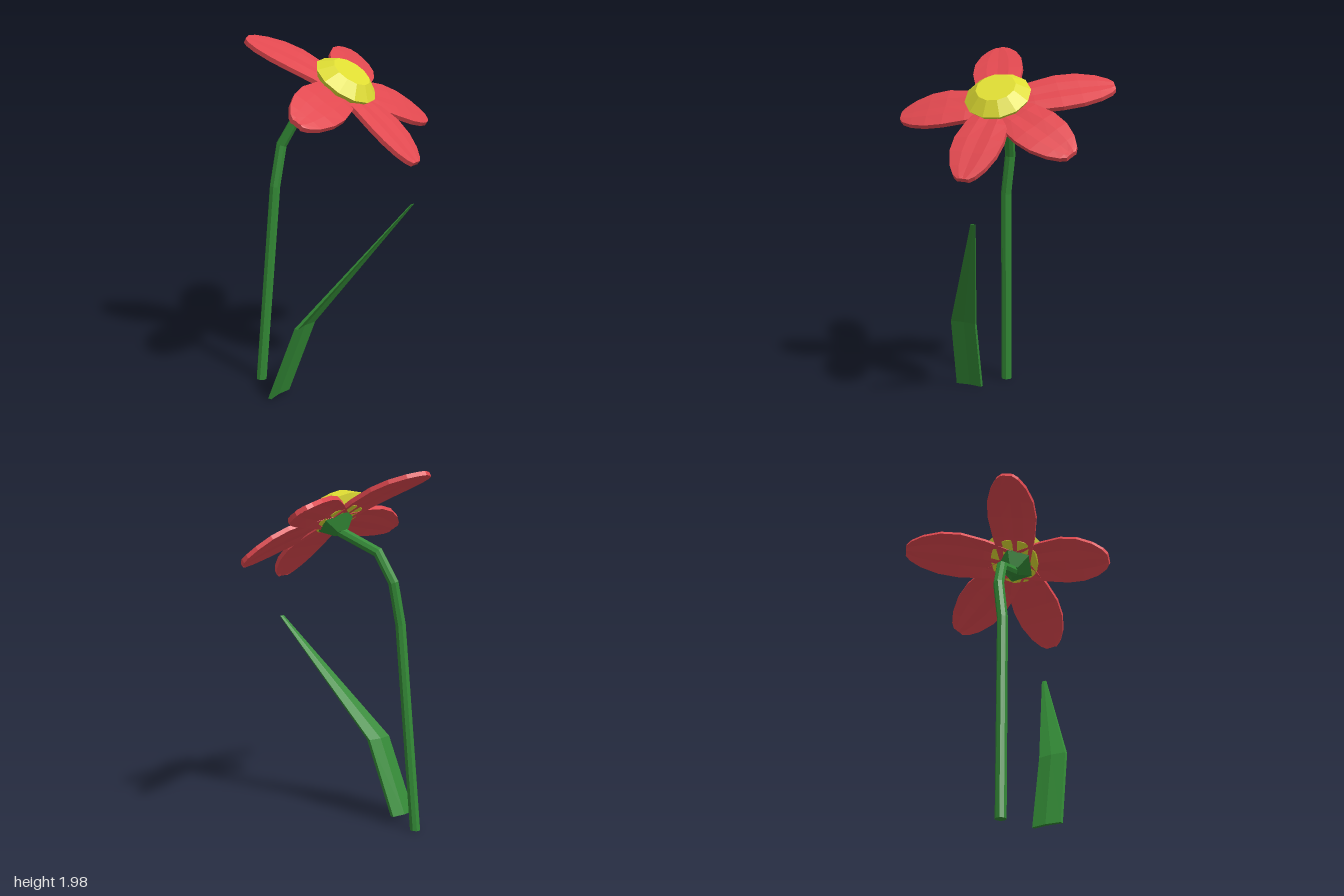
import * as THREE from 'three';

const V = (x, y, z) => new THREE.Vector3(x, y, z);
const paint = (color) => new THREE.MeshStandardMaterial({ color, flatShading: true });

// Joins equal-sized closed cross-sections into a capped solid.
function loft(rings) {
  const n = rings[0].length, last = rings.length - 1, index = [];
  for (let i = 0; i < last; i++) {
    for (let j = 0; j < n; j++) {
      const a = i * n + j, b = i * n + (j + 1) % n;
      index.push(a, b, b + n, a, b + n, a + n);
    }
  }
  for (let j = 1; j < n - 1; j++) {
    index.push(0, j + 1, j);
    index.push(last * n, last * n + j, last * n + j + 1);
  }
  const geometry = new THREE.BufferGeometry().setFromPoints(rings.flat());
  geometry.setIndex(index);
  geometry.computeVertexNormals();
  return geometry;
}

// Thin cross-section: top line of [u, height] points, then the same line lower and back.
function bladeRing(centre, side, normal, half, profile, thickness) {
  const point = (u, h) => centre.clone().addScaledVector(side, u * half).addScaledVector(normal, h);
  return [
    ...profile.map(([u, h]) => point(u, h)),
    ...profile.slice().reverse().map(([u, h]) => point(u, h - thickness)),
  ];
}

const facing = V(0.37, 0.82, 0.43).normalize();
const heart = V(-0.03, 1.7, 0.09);

function petalGeometry(tip) {
  const axis = tip.clone().sub(heart).normalize();
  const side = axis.clone().cross(facing).normalize();
  const normal = side.clone().cross(axis);
  // [distance along petal, half width]
  const outline = [[0.05, 0.09], [0.3, 0.122], [0.52, 0.14], [0.7, 0.132], [0.86, 0.1], [0.96, 0.062], [1, 0.032]];
  return loft(outline.map(([t, half]) => {
    const centre = heart.clone().lerp(tip, t).addScaledVector(normal, 0.025 * Math.sin(Math.PI * t) + 0.01);
    const ridge = 0.012 * (1 - t * 0.7);
    const profile = [[-1, 0], [-0.45, ridge], [0, ridge * 0.4], [0.45, ridge], [1, 0]];
    return bladeRing(centre, side, normal, half, profile, 0.025);
  }));
}

function stemGeometry(points, radius, sides) {
  return loft(points.map((p, i) => {
    const axis = points[Math.min(i + 1, points.length - 1)].clone().sub(points[Math.max(i - 1, 0)]).normalize();
    if (i === 0) axis.set(0, 1, 0);
    const side = axis.clone().cross(V(-0.6, 0, 0.8)).normalize();
    const normal = side.clone().cross(axis);
    return Array.from({ length: sides }, (_, k) => {
      const angle = -k / sides * Math.PI * 2;
      return p.clone().addScaledVector(side, radius * Math.cos(angle)).addScaledVector(normal, radius * Math.sin(angle));
    });
  }));
}

function leafGeometry() {
  // [one edge, other edge] at the foot, the bend and the tip
  const sections = [
    [V(-0.49, 0.01, 0.105), V(-0.355, 0.01, 0.015)],
    [V(-0.365, 0.44, 0.205), V(-0.235, 0.44, 0.12)],
    [V(0.22, 1.13, 0.4), V(0.243, 1.13, 0.385)],
  ];
  return loft(sections.map(([a, b], i) => {
    const centre = a.clone().lerp(b, 0.5);
    const side = b.clone().sub(a).normalize();
    const normal = V(-side.z, 0, side.x).negate();
    const depth = [0.01, 0.01, 0.002][i];
    const profile = [[-1, 0], [0, depth], [1, 0]];
    return bladeRing(centre, side, normal, a.distanceTo(b) / 2, profile, [0.022, 0.022, 0.006][i]);
  }));
}

export function createModel() {
  const model = new THREE.Group();
  model.name = 'flower';
  const green = paint(0x338a36), red = paint(0xe0484f), yellow = paint(0xdedc33);
  green.side = THREE.DoubleSide;
  const add = (name, geometry, material) => {
    const mesh = new THREE.Mesh(geometry, material);
    mesh.name = name;
    model.add(mesh);
    return mesh;
  };

  // Stem, bending over towards the flower head
  const path = [
    V(-0.435, 0, -0.195), V(-0.352, 1.15, -0.145), V(-0.31, 1.38, -0.148),
    V(-0.235, 1.54, -0.095), V(-0.055, 1.64, 0.06),
  ];
  add('stem', stemGeometry(path, 0.03, 8), green);

  // Leaf
  add('leaf', leafGeometry(), green);

  // Petals, each running from the heart to its own tip
  const tips = [
    V(0.235, 1.8, -0.485), V(0.495, 1.49, -0.04), V(0.225, 1.365, 0.45),
    V(-0.43, 1.625, 0.475), V(-0.485, 1.965, -0.18),
  ];
  tips.forEach((tip, i) => add(`petal${i + 1}`, petalGeometry(tip), red));

  // Domed centre and the calyx beneath it
  const tilt = new THREE.Quaternion().setFromUnitVectors(V(0, 1, 0), facing);
  const dome = [[0.001, -0.06], [0.14, -0.06], [0.183, 0], [0.11, 0.06], [0.001, 0.06]];
  const centre = add('centre', new THREE.LatheGeometry(dome.map(([r, y]) => new THREE.Vector2(r, y)), 12), yellow);
  centre.position.set(-0.026, 1.757, 0.096);
  centre.quaternion.copy(tilt);

  const calyx = add('calyx', new THREE.CylinderGeometry(0.12, 0.04, 0.08, 5), green);
  calyx.position.copy(heart).addScaledVector(facing, -0.04);
  calyx.quaternion.copy(tilt);

  return model;
}
